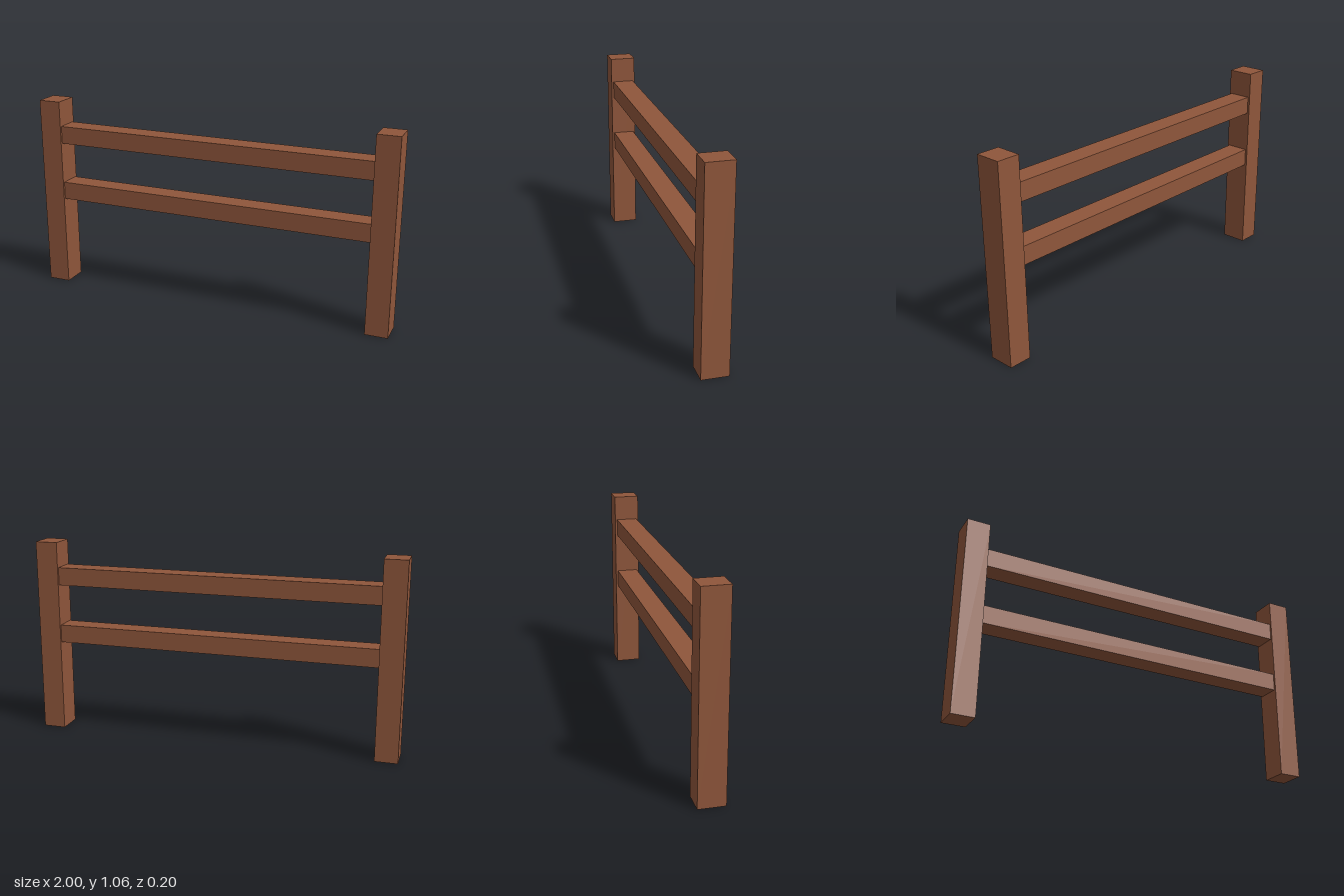
import * as THREE from 'three';

const POST = { width: 0.122, height: 1.058, depth: 0.14, offset: 0.9374 };
const RAIL = { height: 0.097, depth: 0.117, centres: [0.549, 0.871] };

export function createModel() {
  const wood = new THREE.MeshStandardMaterial({ color: 0x8f563b });
  wood.name = 'brownWood';

  const fence = new THREE.Group();
  fence.name = 'fence';

  const addBeam = (name, size, position) => {
    const beam = new THREE.Mesh(new THREE.BoxGeometry(...size), wood);
    beam.name = name;
    beam.position.set(...position);
    fence.add(beam);
  };

  // Square posts at both ends
  for (const [name, side] of [['leftPost', 1], ['rightPost', -1]]) {
    addBeam(name, [POST.width, POST.height, POST.depth], [side * POST.offset, POST.height / 2, 0]);
  }

  // Horizontal rails, set slightly into the posts
  const railLength = 2 * (POST.offset - POST.width / 2 + 0.01);
  RAIL.centres.forEach((y, i) => {
    addBeam(['lowerRail', 'upperRail'][i], [railLength, RAIL.height, RAIL.depth], [0, y, 0]);
  });

  // The whole fence stands at a slight angle
  fence.rotation.y = 0.029;

  const model = new THREE.Group();
  model.name = 'fenceSection';
  model.add(fence);
  return model;
}
